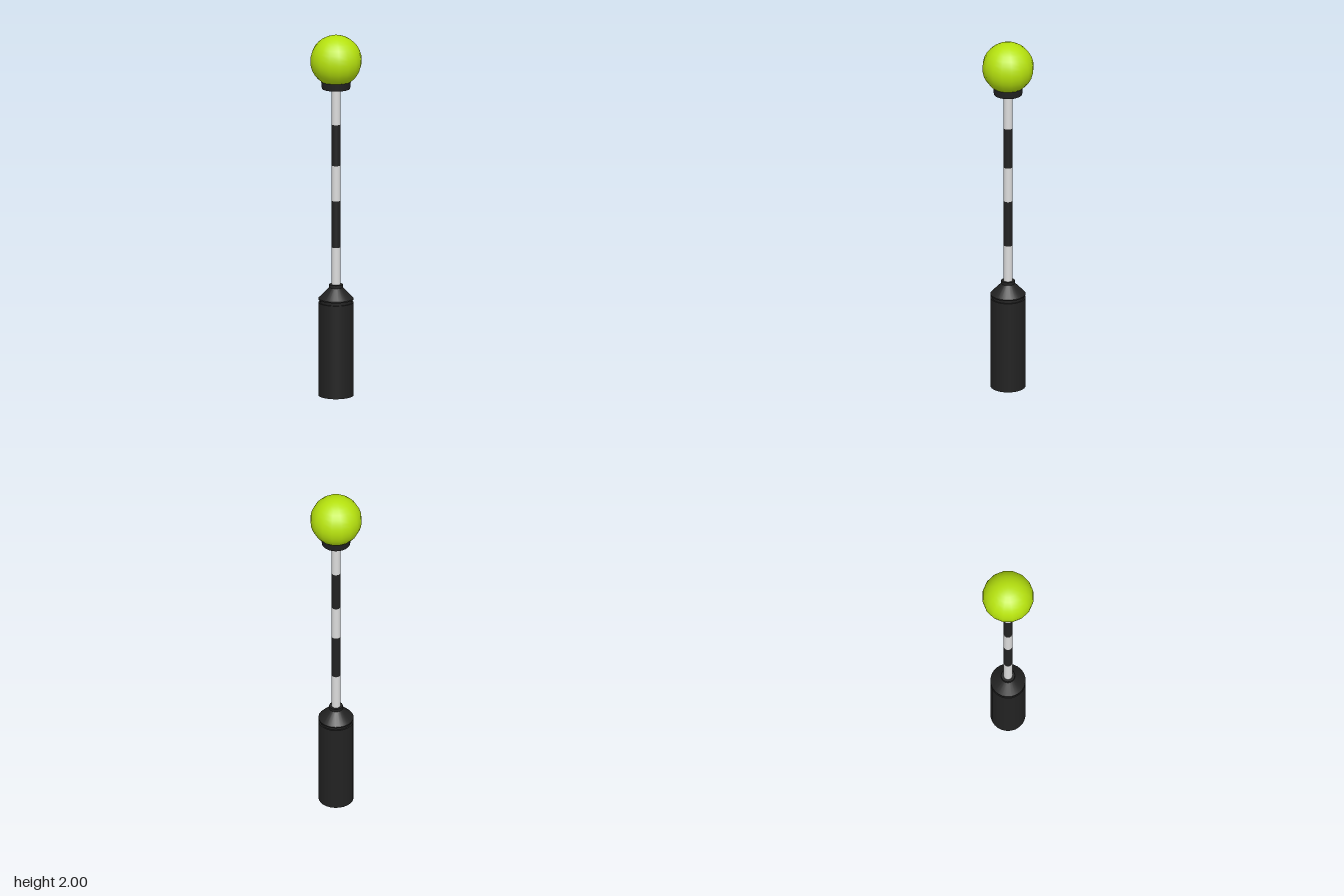
import * as THREE from 'three';

export function createModel() {
  const model = new THREE.Group();
  const paint = (name, color) => {
    const m = new THREE.MeshStandardMaterial({ color });
    m.name = name;
    return m;
  };
  const black = paint('black', 0x222222);
  const white = paint('white', 0xdcdcdc);
  const lime = paint('lime', 0xb6e20e);

  // Upright round section from y0 to y1, with optional taper
  const section = (name, y0, y1, r0, r1, material, open = false) => {
    const geo = new THREE.CylinderGeometry(r1, r0, y1 - y0, 24, 1, open);
    const mesh = new THREE.Mesh(geo, material);
    mesh.name = name;
    mesh.position.y = (y0 + y1) / 2;
    model.add(mesh);
  };

  // Base: barrel, recessed groove, lip, sloping shoulder and neck
  section('baseBarrel', 0, 0.517, 0.095, 0.095, black);
  section('baseGroove', 0.517, 0.533, 0.087, 0.087, black, true);
  section('baseLip', 0.533, 0.54, 0.095, 0.095, black);
  section('baseShoulder', 0.54, 0.6, 0.095, 0.037, black);
  section('baseNeck', 0.6, 0.617, 0.037, 0.037, black);

  // Banded pole
  const bands = [0.6, 0.823, 1.082, 1.278, 1.506, 1.72];
  for (let i = 0; i < bands.length - 1; i++) {
    section('poleBand' + (i + 1), bands[i], bands[i + 1], 0.024, 0.024, i % 2 ? black : white, true);
  }

  // Collar holding the globe
  section('globeCollar', 1.706, 1.748, 0.077, 0.081, black);

  // Globe
  const globe = new THREE.Mesh(new THREE.SphereGeometry(0.14, 16, 16), lime);
  globe.name = 'globe';
  globe.position.y = 1.86;
  model.add(globe);

  return model;
}
